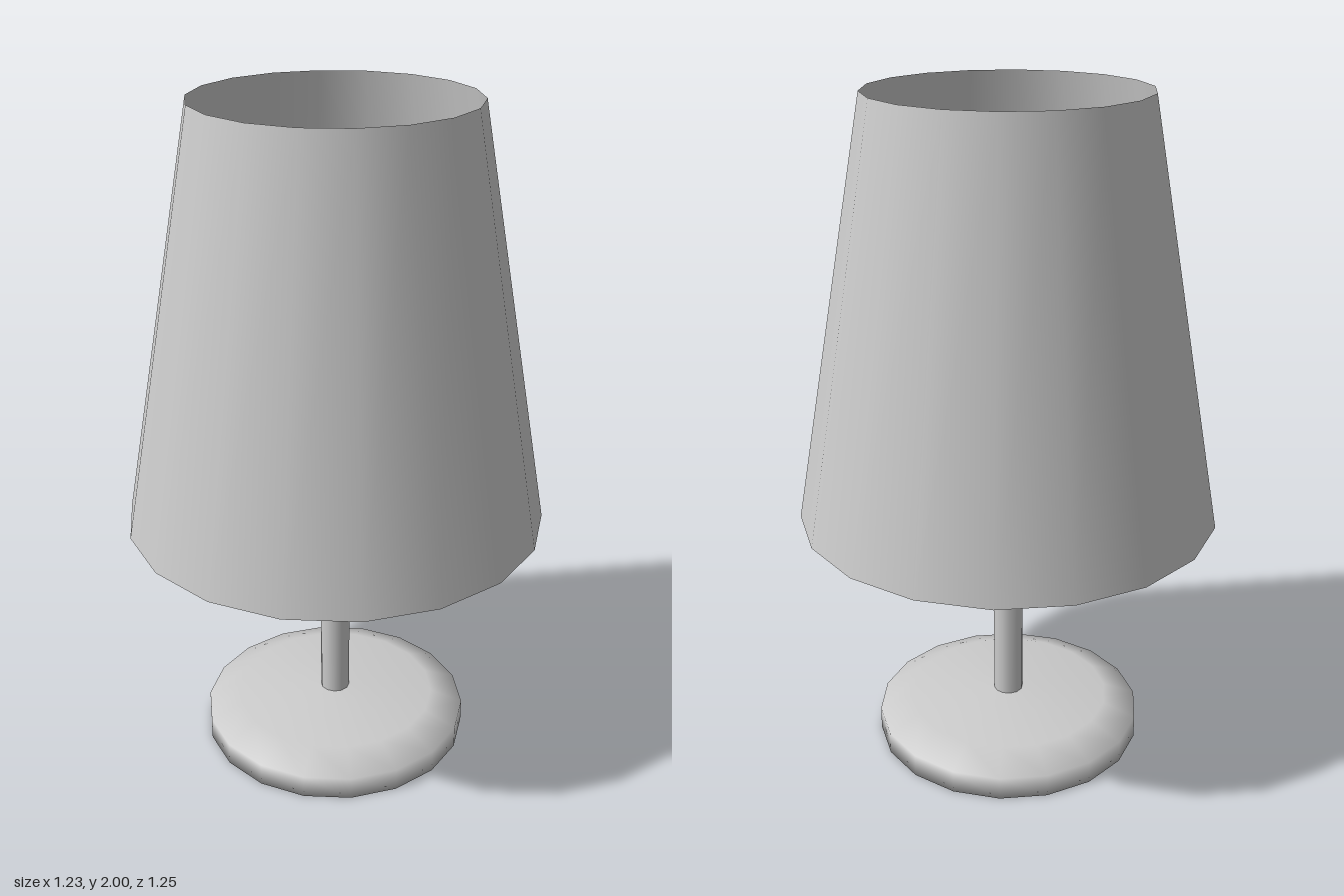
import * as THREE from 'three';

const SIDES = 18;

export function createModel() {
  const lamp = new THREE.Group();
  lamp.name = 'tableLamp';
  const material = new THREE.MeshStandardMaterial({ color: 0xcccccc });
  const thin = new THREE.MeshStandardMaterial({ color: 0xcccccc, side: THREE.DoubleSide });

  const add = (name, geometry, y = 0, mat = material) => {
    const mesh = new THREE.Mesh(geometry, mat);
    mesh.name = name;
    mesh.position.y = y;
    lamp.add(mesh);
  };

  // Base: round foot with a soft, gently domed top
  const profile = [[0, 0], [0.41, 0], [0.41, 0.07], [0.31, 0.11], [0.045, 0.125], [0, 0.125]]
    .map(([r, y]) => new THREE.Vector2(r, y));
  add('base', new THREE.LatheGeometry(profile, SIDES));

  // Stem: rises from the base into the bulb
  const stemBottom = 0.11, stemTop = 1.06;
  add('stem', new THREE.CylinderGeometry(0.045, 0.045, stemTop - stemBottom, 12),
    (stemBottom + stemTop) / 2);

  // Bulb: round globe on top of the stem
  add('bulb', new THREE.SphereGeometry(0.213, 12, 10), 1.25);

  // Shade: thin tapered shell, open at both ends
  const shadeBottom = 0.765, shadeTop = 2;
  add('shade', new THREE.CylinderGeometry(0.4, 0.623, shadeTop - shadeBottom, SIDES, 1, true),
    (shadeBottom + shadeTop) / 2, thin);

  return lamp;
}
